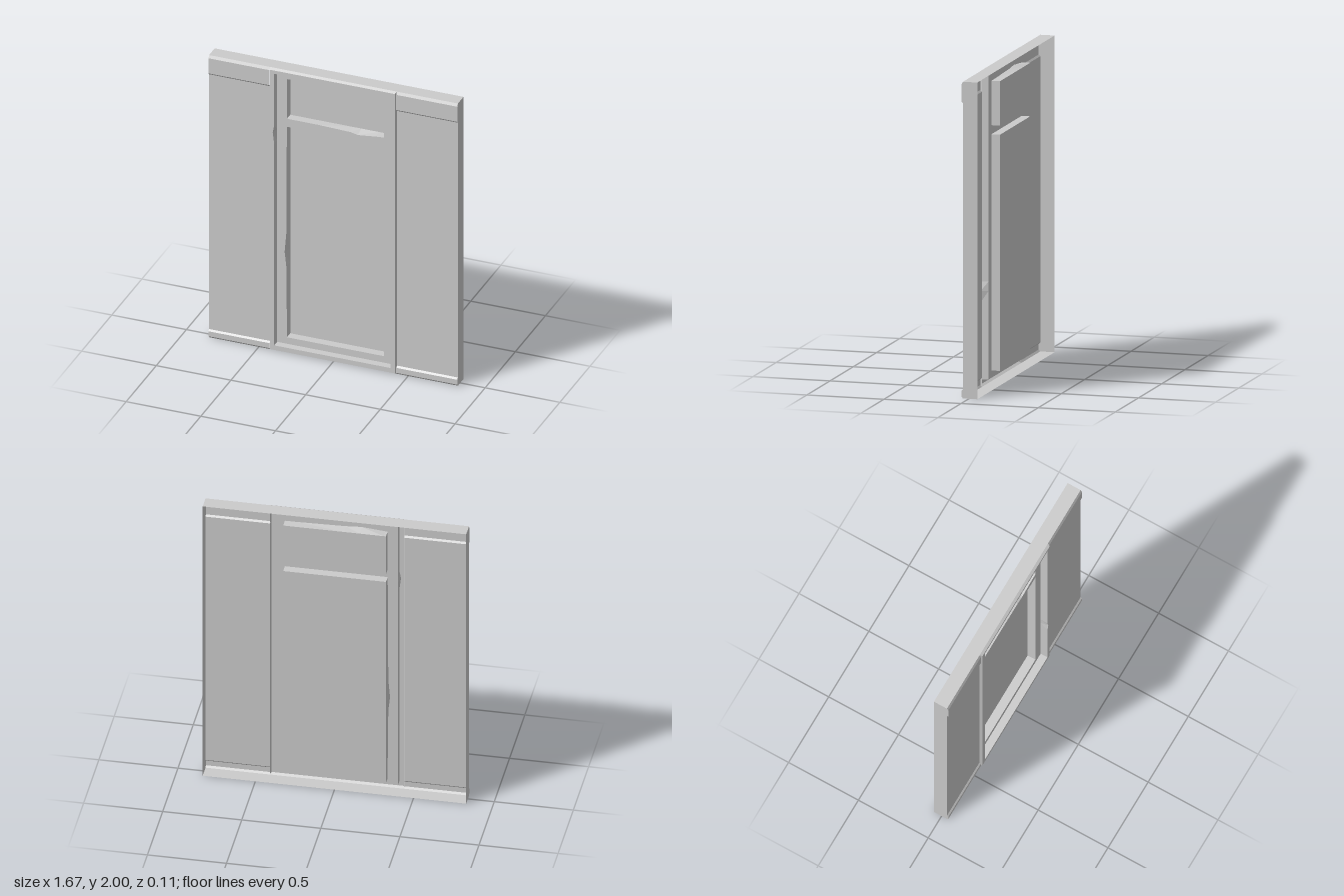
import * as THREE from 'three';

const BACK = -0.055, WALL = 0.038, TRIM = 0.048, FRAME = 0.055, LEAF = 0.006, PANEL = -0.05;
const HALF = 0.833, BAY = 0.424;

const material = new THREE.MeshStandardMaterial({ color: 0xcccccc, side: THREE.DoubleSide, flatShading: true });

function add(group, name, geometry) {
  const mesh = new THREE.Mesh(geometry, material);
  mesh.name = name;
  group.add(mesh);
}

// Quads between two matching rows of points
function strip(a, b, closed = false) {
  const pos = [];
  const n = closed ? a.length : a.length - 1;
  for (let i = 0; i < n; i++) {
    const j = (i + 1) % a.length;
    for (const p of [a[i], a[j], b[j], a[i], b[j], b[i]]) pos.push(p.x, p.y, p.z);
  }
  const g = new THREE.BufferGeometry();
  g.setAttribute('position', new THREE.Float32BufferAttribute(pos, 3));
  g.computeVertexNormals();
  return g;
}

// Rectangle outline, counter-clockwise; chips are [position along side, outward depth]
function outline({ x, y0, y1, chips = {} }, z, chipScale = 1) {
  const v = (px, py) => new THREE.Vector3(px, py, z);
  const { bottom = [], right = [], top = [], left = [] } = chips;
  return [
    v(-x, y0), ...bottom.map(([t, d]) => v(t, y0 - d * chipScale)),
    v(x, y0), ...right.map(([t, d]) => v(x + d * chipScale, t)),
    v(x, y1), ...top.map(([t, d]) => v(t, y1 + d * chipScale)),
    v(-x, y1), ...left.map(([t, d]) => v(-x - d * chipScale, t)),
  ];
}

const flat = (pts) => pts.map((p) => new THREE.Vector2(p.x, p.y));

// Flat face at depth z with holes
function face(outer, holes, z) {
  const shape = new THREE.Shape(flat(outer));
  for (const h of holes) shape.holes.push(new THREE.Path(flat(h)));
  return new THREE.ShapeGeometry(shape).translate(0, 0, z);
}

export function createModel() {
  const model = new THREE.Group();
  model.name = 'doorWall';

  // Side bays: skirting, wall and top trim in one profile of [z, y]
  const profile = [
    [BACK, 0], [WALL, 0], [TRIM, 0.012], [TRIM, 0.047], [WALL, 0.058],
    [WALL, 1.864], [TRIM, 1.875], [TRIM, 1.982], [WALL, 2], [BACK, 2],
  ];
  const section = (x) => profile.map(([z, y]) => new THREE.Vector3(x, y, z));
  add(model, 'leftWallBay', strip(section(HALF), section(BAY)));
  add(model, 'rightWallBay', strip(section(-BAY), section(-HALF)));

  // Outer ends of the wall
  for (const side of [1, -1]) {
    const shape = new THREE.Shape(profile.map(([z, y]) => new THREE.Vector2(-side * z, y)));
    const end = new THREE.ShapeGeometry(shape).rotateY(side * Math.PI / 2).translate(side * HALF, 0, 0);
    add(model, side > 0 ? 'leftEnd' : 'rightEnd', end);
  }

  // Top and bottom edges behind the door
  for (const y of [0, 2]) {
    const row = (z) => [-BAY, BAY].map((x) => new THREE.Vector3(x, y, z));
    add(model, y ? 'doorTopEdge' : 'doorBottomEdge', y ? strip(row(WALL), row(BACK)) : strip(row(BACK), row(WALL)));
  }

  // Openings, with worn chips along their front edges
  const doorway = {
    x: 0.39, y0: 0.042, y1: 1.967,
    chips: {
      right: [[0.53, 0], [0.6, 0.01], [0.66, 0]],
      left: [[1.6, 0], [1.55, 0.01], [1.47, 0]],
    },
  };
  const panels = [
    {
      name: 'lowerPanel', x: 0.325, y0: 0.088, y1: 1.58,
      chips: { left: [[1.42, 0.001], [0.82, 0.004], [0.69, 0.015], [0.59, 0.004], [0.2, 0]] },
    },
    {
      name: 'upperPanel', x: 0.325, y0: 1.637, y1: 1.918,
      chips: {
        bottom: [[-0.12, 0], [0.1, 0.007], [0.15, 0.018], [0.27, 0.004]],
        top: [[0.25, 0], [-0.06, 0.007], [-0.16, 0.014], [-0.31, 0]],
      },
    },
  ];

  // Raised door frame
  const base = outline({ x: BAY + 0.002, y0: 0, y1: 2 }, WALL);
  const rim = outline({ x: BAY - 0.006, y0: 0.01, y1: 1.99 }, FRAME);
  add(model, 'frameBevel', strip(base, rim, true));
  const opening = outline(doorway, FRAME);
  const leafEdge = outline(doorway, LEAF, 0);
  add(model, 'frameFace', face(rim, [opening], FRAME));
  add(model, 'frameReveal', strip(opening, leafEdge, true));

  // Door leaf with sunken panels
  add(model, 'doorLeaf', face(leafEdge, panels.map((p) => outline(p, LEAF)), LEAF));
  for (const p of panels) {
    const floor = outline(p, PANEL, 0);
    add(model, p.name + 'Reveal', strip(outline(p, LEAF), floor, true));
    add(model, p.name, face(floor, [], PANEL));
  }

  return model;
}
